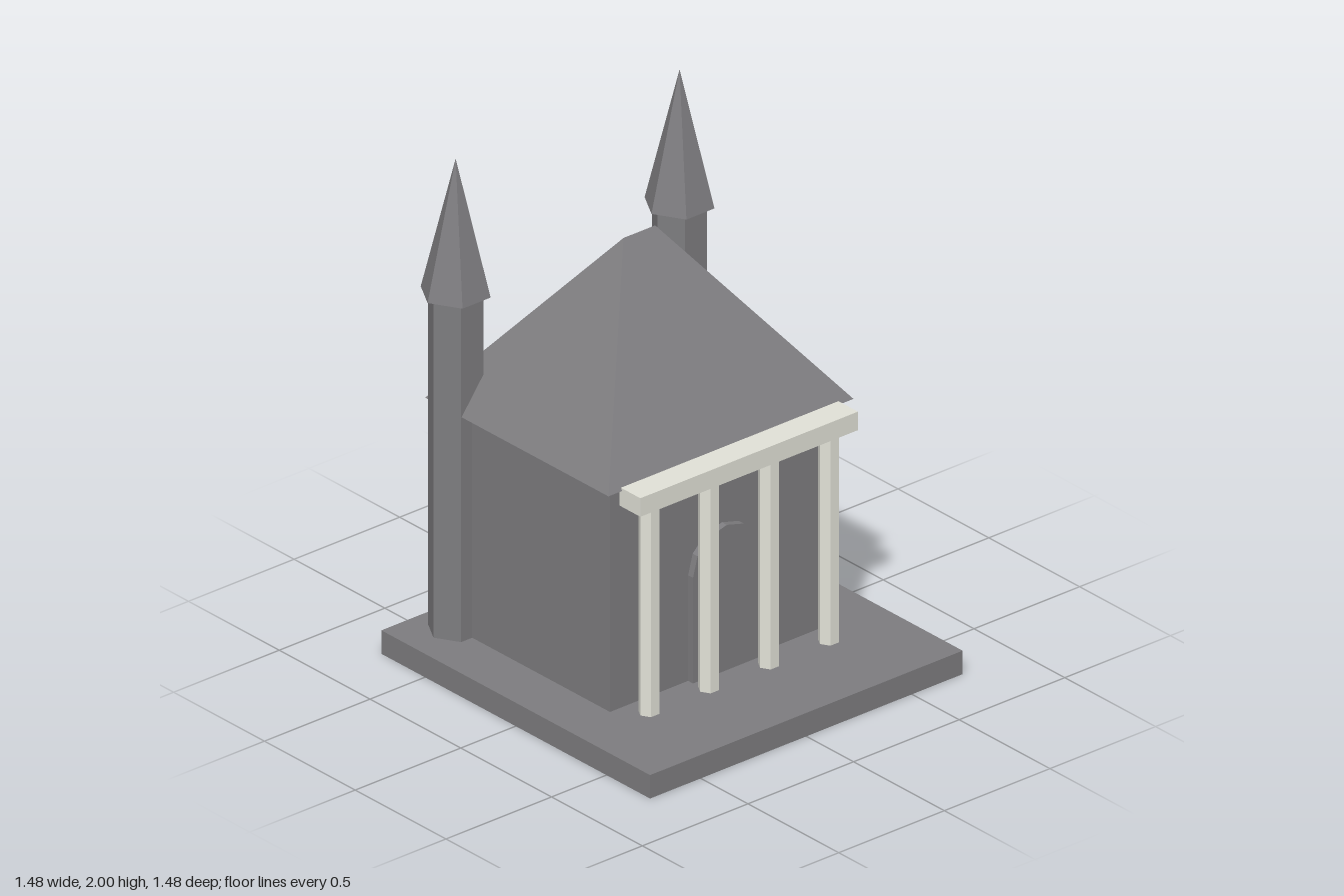
import * as THREE from 'three';

export function createModel() {
  const model = new THREE.Group();
  const stone = new THREE.MeshStandardMaterial({ name: 'grey stone', color: 0x7e7d80, flatShading: true });
  const marble = new THREE.MeshStandardMaterial({ name: 'pale marble', color: 0xe2e2d8, flatShading: true });

  const add = (name, geometry, material, x, y, z) => {
    const mesh = new THREE.Mesh(geometry, material);
    mesh.name = name;
    mesh.position.set(x, y, z);
    model.add(mesh);
    return mesh;
  };
  const box = (name, w, h, d, material, x, y, z) =>
    add(name, new THREE.BoxGeometry(w, h, d), material, x, y, z);
  // Hexagonal prism or spire with corners pointing along x
  const hex = (name, top, bottom, y0, y1, material, x, z) => {
    const g = top === 0
      ? new THREE.ConeGeometry(bottom, y1 - y0, 6)
      : new THREE.CylinderGeometry(top, bottom, y1 - y0, 6);
    return add(name, g.rotateY(Math.PI / 6), material, x, (y0 + y1) / 2, z);
  };

  const floor = 0.095, eaves = 1.005, bodyZ = -0.18;

  // Plinth and hall
  box('plinth', 1.48, floor, 1.48, stone, 0, floor / 2, 0);
  box('hall', 1.06, eaves - floor, 0.91, stone, 0, (floor + eaves) / 2, bodyZ);

  // Hipped roof: a box whose top is pulled in to a short ridge
  const roof = new THREE.BoxGeometry(1.16, 0.675, 1.01);
  const p = roof.attributes.position;
  for (let i = 0; i < p.count; i++) {
    if (p.getY(i) > 0) p.setXYZ(i, Math.sign(p.getX(i)) * 0.075, p.getY(i), 0);
  }
  roof.computeVertexNormals();
  add('roof', roof, stone, 0, eaves + 0.3375, bodyZ);

  // Rear towers with spires
  for (const side of [-1, 1]) {
    hex('tower', 0.105, 0.105, floor, 1.46, stone, side * 0.53, -0.575);
    hex('spire', 0, 0.133, 1.46, 2, stone, side * 0.53, -0.575);
  }

  // Portico
  for (const x of [-0.425, -0.142, 0.142, 0.425]) {
    hex('column', 0.04, 0.04, floor, 0.94, marble, x, 0.367);
  }
  box('entablature', 1.03, 0.075, 0.115, marble, 0, 0.9775, 0.3675);

  // Arched door
  const r = 0.16, spring = 0.523;
  const arch = new THREE.Shape();
  arch.moveTo(-r, floor);
  arch.lineTo(r, floor);
  for (let i = 0; i <= 6; i++) {
    const a = (i * Math.PI) / 6;
    arch.lineTo(r * Math.cos(a), spring + r * Math.sin(a));
  }
  add('door', new THREE.ExtrudeGeometry(arch, { depth: 0.035, bevelEnabled: false }), stone, 0, 0, 0.267);

  return model;
}
